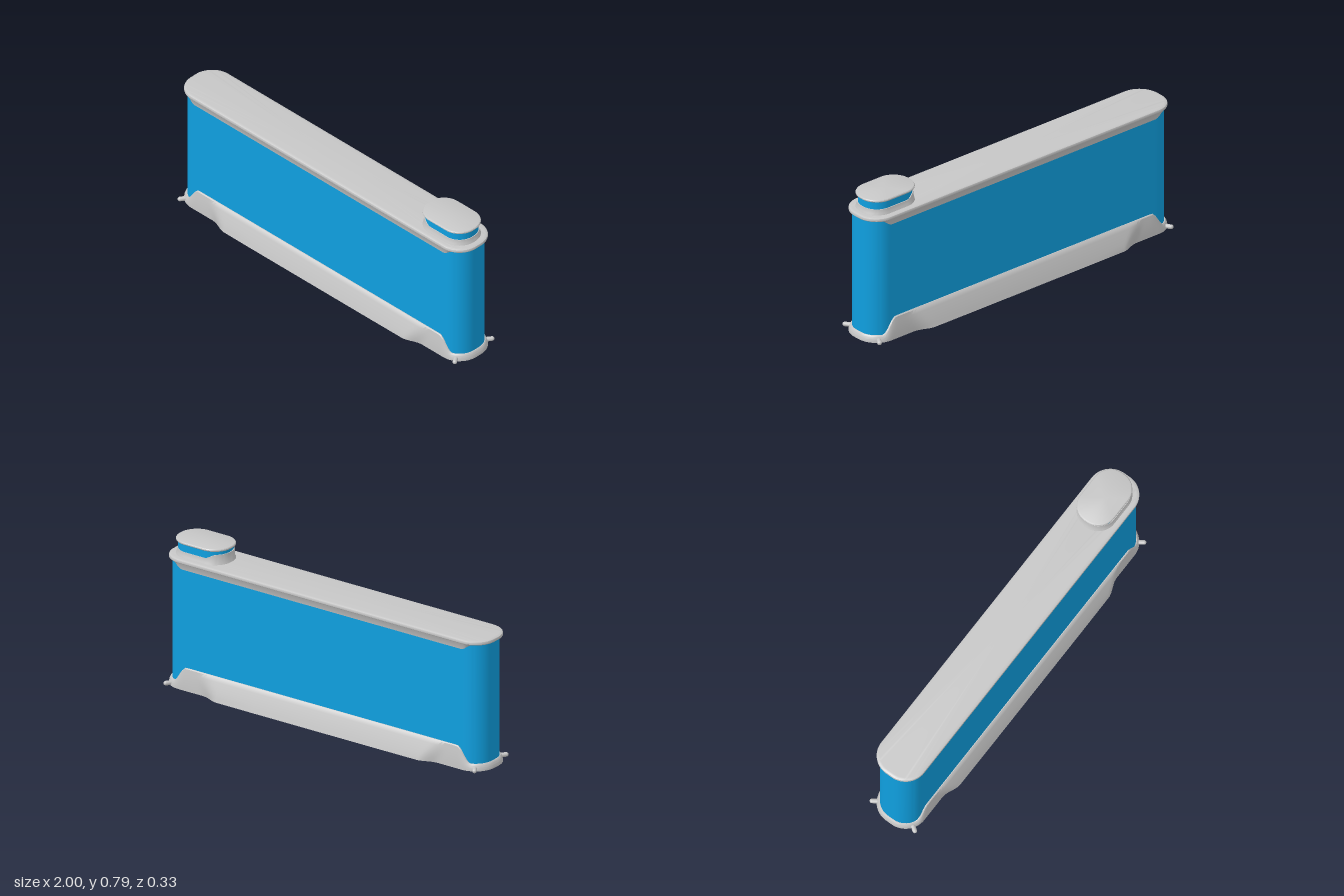
import * as THREE from 'three';
import { toCreasedNormals } from 'three/addons/utils/BufferGeometryUtils.js';

const { lerp, smoothstep } = THREE.MathUtils;

// Rounded rectangle in plan, as points with outward normals
function outline(hx, hz, r, sideXs, arcSteps = 16) {
  const pts = [];
  const cx = hx - r, cz = hz - r;
  const corner = (q, sx, sz) => {
    for (let i = 0; i <= arcSteps; i++) {
      const a = (q + i / arcSteps) * Math.PI / 2;
      const nx = Math.cos(a), nz = Math.sin(a);
      pts.push({ x: sx * cx + r * nx, z: sz * cz + r * nz, nx, nz });
    }
  };
  const side = (s) => {
    for (const x of sideXs) pts.push({ x: s * x, z: s * hz, nx: 0, nz: s });
  };
  corner(0, 1, 1);
  side(1);
  corner(1, -1, 1);
  corner(2, -1, -1);
  side(-1);
  corner(3, 1, -1);
  return pts;
}

// Closed solid: each row maps an outline point to [outward offset, height]
function loft(pts, rows, crease = 0.6) {
  const n = pts.length, pos = [], idx = [];
  for (const row of rows) {
    for (const p of pts) {
      const [o, y] = typeof row === 'function' ? row(p) : row;
      pos.push(p.x + p.nx * o, y, p.z + p.nz * o);
    }
  }
  const last = (rows.length - 1) * n, bottom = rows.length * n, top = bottom + 1;
  pos.push(0, pos[1], 0, 0, pos[last * 3 + 1], 0);
  for (let j = 0; j < n; j++) {
    const k = (j + 1) % n;
    for (let i = 0; i < rows.length - 1; i++) {
      const a = i * n + j, b = i * n + k;
      idx.push(a, a + n, b, b, a + n, b + n);
    }
    idx.push(bottom, j, k, top, last + k, last + j);
  }
  const g = new THREE.BufferGeometry();
  g.setAttribute('position', new THREE.Float32BufferAttribute(pos, 3));
  g.setIndex(idx);
  return toCreasedNormals(g, crease);
}

export function createModel() {
  const grey = new THREE.MeshStandardMaterial({ color: 0xc6c6c6 });
  grey.name = 'light grey';
  const blue = new THREE.MeshStandardMaterial({ color: 0x0f9fdf });
  blue.name = 'bright blue';

  const model = new THREE.Group();
  model.name = 'flatTank';
  const add = (name, geometry, material, parent = model) => {
    const mesh = new THREE.Mesh(geometry, material);
    mesh.name = name;
    parent.add(mesh);
    return mesh;
  };

  // Tall slim body
  const half = [0.87, 0.85, 0.83, 0.81, 0.79, 0.77, 0.75, 0.73, 0.71, 0.69, 0.67, 0.65, 0.63, 0.4];
  const xs = [...half, 0, ...half.map((x) => -x).reverse()];
  const plan = outline(0.983, 0.118, 0.1, xs);
  add('body', loft(plan, [[0, 0.02], [0, 0.69]]), blue);

  // Base: flared sides, raised along the middle, scooped near the ends
  const baseHeight = (x) => lerp(0.12, 0.035, smoothstep(Math.abs(x), 0.845, 0.925));
  const flare = (x, y) =>
    0.032 * (1 - y / 0.12) * (1 - smoothstep(Math.abs(x), 0.62 + 0.7 * y, 0.73 + 0.6 * y));
  const baseRows = [];
  for (let i = 0; i <= 6; i++) {
    const t = i / 6;
    baseRows.push((p) => {
      const y = t * (baseHeight(p.x) - 0.004);
      return [lerp(0.017, 0.008, t * t) + flare(p.x, y), y];
    });
  }
  baseRows.push((p) => [0.004, baseHeight(p.x)], (p) => [-0.005, baseHeight(p.x)]);
  add('base', loft(plan, baseRows), grey);

  // Small pegs at the four corners of the base
  const pegGeometry = new THREE.CapsuleGeometry(0.012, 0.046, 6, 12).rotateX(Math.PI / 2);
  for (const sx of [1, -1]) {
    for (const sz of [1, -1]) {
      const peg = add('cornerPeg', pegGeometry, grey);
      peg.position.set(sx * 0.949, 0.0125, sz * 0.115);
      peg.rotation.y = Math.atan2(sx * 0.6, sz * 0.9);
    }
  }

  // Lid with a rounded rim and a skirt down the long sides
  const skirt = (x) => lerp(0.65, 0.682, smoothstep(Math.abs(x), 0.87, 0.93));
  add('lid', loft(plan, [
    (p) => [-0.004, skirt(p.x)],
    (p) => [0.005, skirt(p.x)],
    [0.013, 0.684],
    [0.0165, 0.688],
    [0.017, 0.696],
    [0.015, 0.701],
    [0.01, 0.704],
    [0, 0.705],
  ]), grey);

  // Filler neck, collar and cap at the left end
  const filler = new THREE.Group();
  filler.name = 'filler';
  filler.position.x = 0.81;
  model.add(filler);
  const neckPlan = outline(0.148, 0.094, 0.088, [0.03, 0, -0.03]);
  add('fillerNeck', loft(neckPlan, [[0, 0.7], [0, 0.78]]), blue, filler);

  // Collar, higher on the side facing the middle of the lid
  const collarTop = (x) => lerp(0.757, 0.734, smoothstep(x, -0.12, -0.06));
  add('fillerCollar', loft(neckPlan, [
    [0.012, 0.7],
    [0.011, 0.707],
    [0.007, 0.713],
    (p) => [0.004, collarTop(p.x)],
    (p) => [-0.004, collarTop(p.x)],
  ]), grey, filler);

  add('fillerCap', loft(neckPlan, [
    [0, 0.775],
    [0.007, 0.776],
    [0.011, 0.78],
    [0.011, 0.785],
    [0.008, 0.789],
    [0.002, 0.791],
  ]), grey, filler);

  return model;
}
